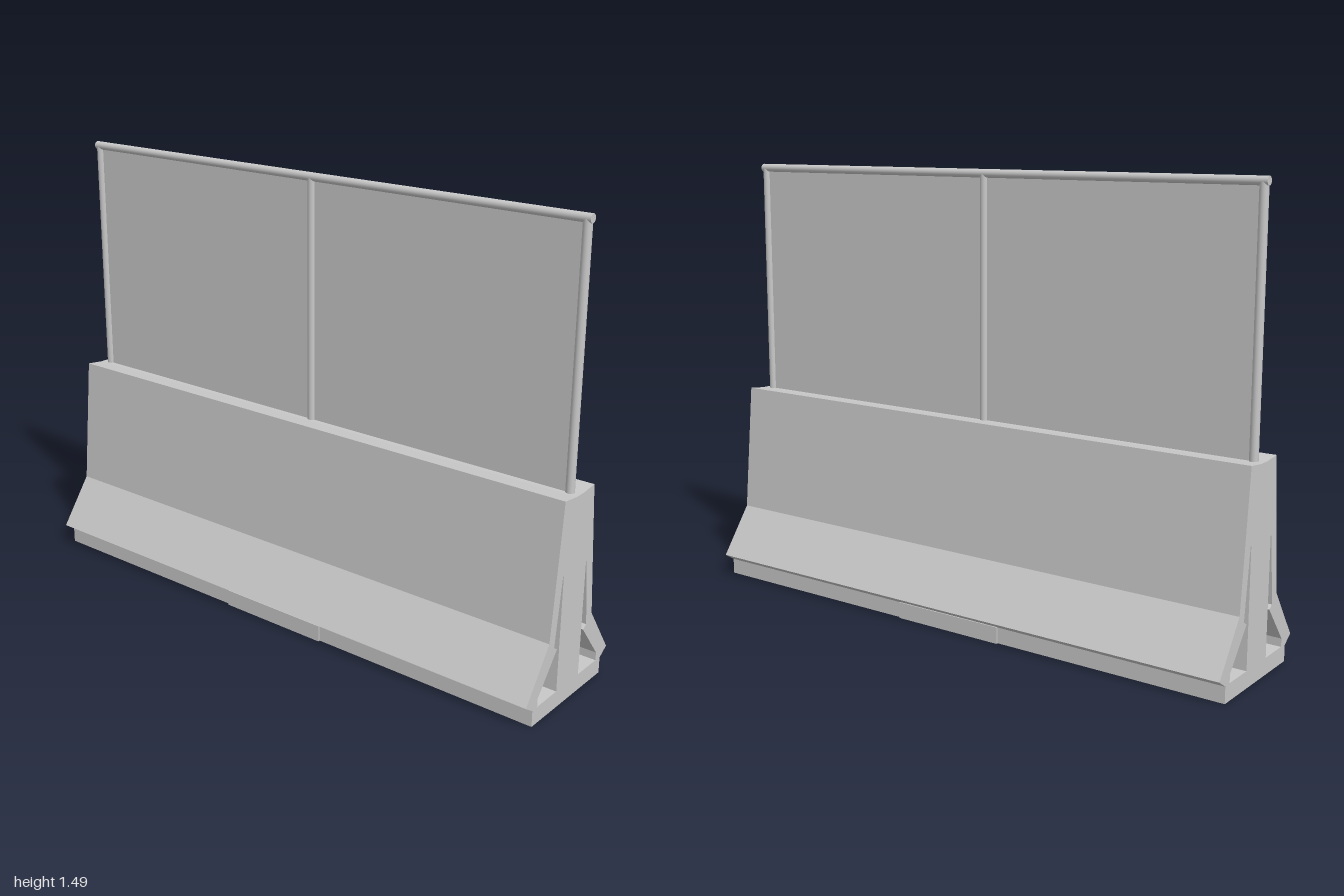
import * as THREE from 'three';

export function createModel() {
  const group = new THREE.Group();
  const concrete = new THREE.MeshStandardMaterial({ color: 0xc8c8c8 });
  concrete.name = 'light grey';

  const add = (name, geometry, x = 0, y = 0, z = 0) => {
    const mesh = new THREE.Mesh(geometry, concrete);
    mesh.name = name;
    mesh.position.set(x, y, z);
    group.add(mesh);
    return mesh;
  };
  const box = (name, w, h, d, x, y, z) => add(name, new THREE.BoxGeometry(w, h, d), x, y, z);

  // Barrier cross-section, mirrored about the centre, with a shallow dip on top
  const half = [[0.201, 0], [0.201, 0.053], [0.239, 0.078], [0.125, 0.24], [0.083, 0.677], [0.02, 0.67]];
  const outline = [...half, ...half.map(([z, y]) => [-z, y]).reverse()];
  const toPoints = (pts) => pts.map(([z, y]) => new THREE.Vector2(z, y));
  const profile = new THREE.Shape(toPoints(outline));

  // Hollow channels either side of the central web
  const channel = [[0.065, 0.055], [0.174, 0.055], [0.174, 0.082], [0.077, 0.203], [0.095, 0.214], [0.069, 0.436], [0.065, 0.436]];
  for (const s of [1, -1]) {
    profile.holes.push(new THREE.Path(toPoints(channel.map(([z, y]) => [s * z, y]))));
  }
  const body = new THREE.ExtrudeGeometry(profile, { depth: 2, bevelEnabled: false });
  body.translate(0, 0, -1);
  body.rotateY(Math.PI / 2);
  add('barrierBody', body);

  // Thicker middle of the foot, and the raised channel floors
  for (const s of [1, -1]) {
    box('footPad', 0.4, 0.055, 0.01, 0, 0.0275, s * 0.203);
    box('channelFloor', 0.4, 0.03, 0.105, 0, 0.067, s * 0.115);
  }

  // Screen: three posts, a top rail and a thin panel
  for (const x of [-0.967, 0, 0.967]) {
    add('post', new THREE.CylinderGeometry(0.014, 0.014, 0.8, 16), x, 1.07, 0);
  }
  const rail = add('topRail', new THREE.CylinderGeometry(0.014, 0.014, 1.965, 16), 0, 1.472, 0);
  rail.rotation.z = Math.PI / 2;
  box('screenPanel', 1.93, 0.8, 0.006, 0, 1.07, 0);

  return group;
}
